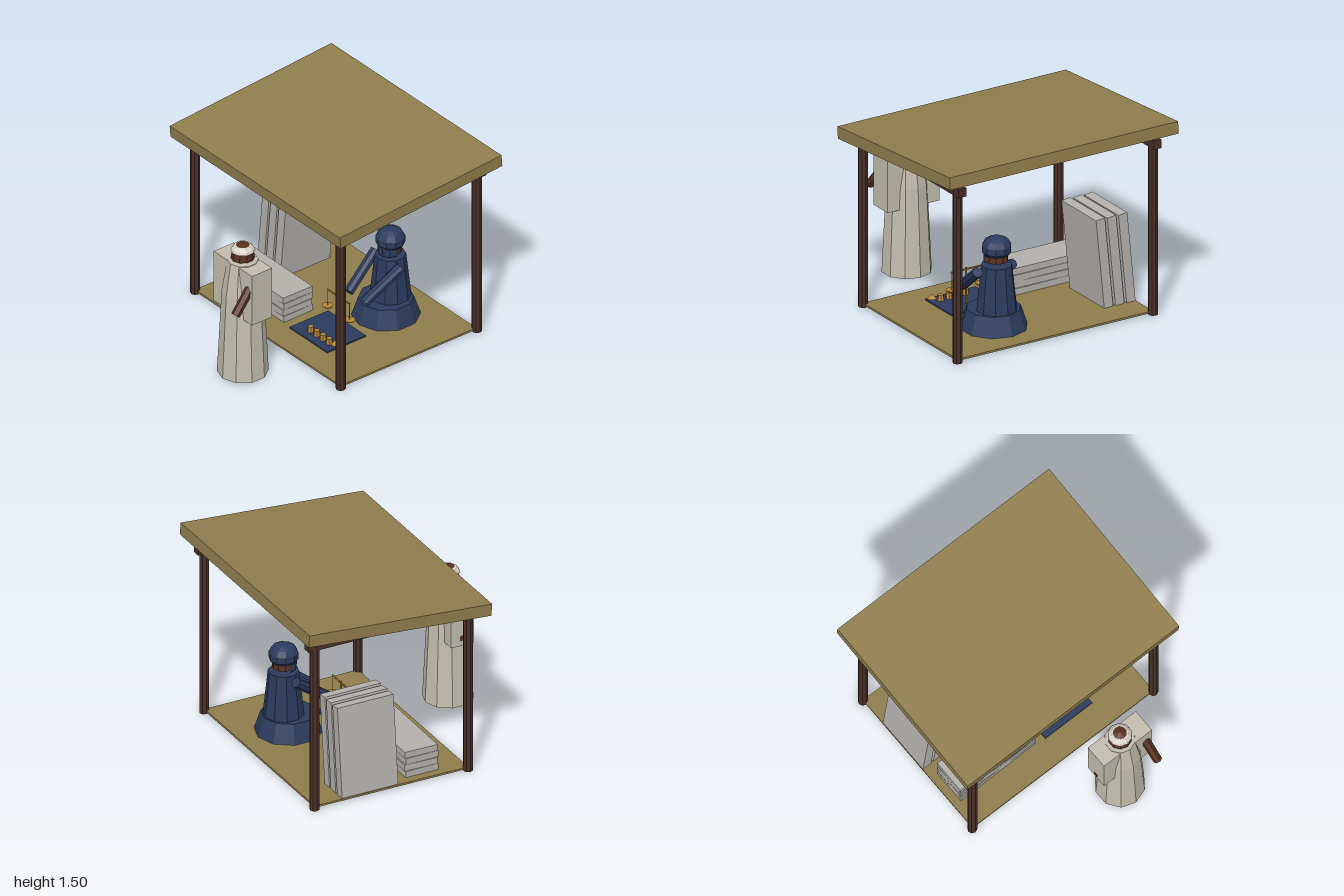
import * as THREE from 'three';

const mat = (color) => new THREE.MeshStandardMaterial({ color, flatShading: true, side: THREE.DoubleSide });
const wood = mat(0x4a2f27), thatch = mat(0x8f7d4c), navy = mat(0x2b3b5e), linen = mat(0xc2bdad),
  cream = mat(0xd8d4c8), skin = mat(0x57301f), stone = mat(0xb4b1ad), gold = mat(0xb5863a);

export function createModel() {
  const root = new THREE.Group();

  const add = (name, geo, material, x = 0, y = 0, z = 0, parent = root) => {
    const m = new THREE.Mesh(geo, material);
    m.name = name;
    m.position.set(x, y, z);
    parent.add(m);
    return m;
  };
  const box = (w, h, d) => new THREE.BoxGeometry(w, h, d);
  const lathe = (pts, sides = 10, start = 0, sweep = Math.PI * 2) =>
    new THREE.LatheGeometry(pts.map(([r, y]) => new THREE.Vector2(r, y)), sides, start, sweep);
  // straight limb, rod or cord between two points
  const rod = (name, a, b, r, material, parent, sides = 6) => {
    const p = new THREE.Vector3(...a), q = new THREE.Vector3(...b);
    const m = add(name, new THREE.CylinderGeometry(r, r, p.distanceTo(q), sides), material, 0, 0, 0, parent);
    m.position.copy(p).add(q).multiplyScalar(0.5);
    m.quaternion.setFromUnitVectors(new THREE.Vector3(0, 1, 0), q.sub(p).normalize());
  };
  const group = (name, x = 0, y = 0, z = 0) => {
    const g = new THREE.Group();
    g.name = name;
    g.position.set(x, y, z);
    root.add(g);
    return g;
  };

  // Stall: floor mat, posts, beams and sloping roof
  const stall = group('stall');
  add('floor', box(1.66, 0.015, 1.245), thatch, 0, 0.0175, -0.25, stall);
  for (const x of [-0.83, 0.83]) {
    for (const [name, z, h] of [['frontPost', 0.37, 1.285], ['backPost', -0.875, 1.38]])
      add(name, new THREE.CylinderGeometry(0.036, 0.036, h, 8), wood, x, h / 2, z, stall);
    add('sideBeam', box(0.065, 0.065, 1.37), wood, x, 1.332, -0.255, stall);
  }
  add('roof', box(1.94, 0.093, 1.485), thatch, 0, 1.393, -0.253, stall).rotation.x = 0.08;

  // Stack of flat bales, each turned a little
  const stack = group('baleStack', -0.425, 0, 0.028);
  [0.012, -0.012, 0.01, -0.01].forEach((turn, i) => {
    add('bale', box(0.685, 0.049, 0.265), stone, 0, 0.052 + i * 0.052, 0, stack).rotation.y = turn;
  });

  // Leaning slabs
  const slabs = group('leaningSlabs');
  for (let i = 0; i < 3; i++)
    add('slab', box(0.075, 0.7, 0.455), stone, -0.755 + i * 0.095, 0.372, -0.422, slabs).rotation.z = -0.1;

  // Cloth with small wares
  const wares = group('waresCloth', 0.215, 0, 0);
  add('cloth', box(0.43, 0.016, 0.355), navy, 0, 0.028, -0.005, wares);
  for (let i = 0; i < 4; i++)
    add('ware', new THREE.CylinderGeometry(0.022, 0.027, 0.045, 7), gold, -0.075 + i * 0.07, 0.058, 0.09, wares);
  add('pointedWare', new THREE.ConeGeometry(0.036, 0.033, 8), gold, 0.21, 0.083, 0.09, wares);

  // Balance scale
  const scale = group('balanceScale', 0.245, 0, -0.08);
  rod('scalePole', [0, 0.035, 0], [0, 0.325, 0], 0.007, gold, scale);
  rod('scaleBeam', [-0.128, 0.312, 0], [0.128, 0.312, 0], 0.007, gold, scale);
  for (const x of [-0.125, 0.125]) {
    rod('panCord', [x, 0.312, 0], [x, 0.18, 0], 0.003, gold, scale, 5);
    add('pan', new THREE.CylinderGeometry(0.042, 0.034, 0.012, 10), gold, x, 0.175, 0, scale);
  }

  // Seated trader
  const trader = group('seatedTrader', 0.275, 0, -0.53);
  add('seatedSkirt', lathe([[0, 0.02], [0.25, 0.02], [0.2, 0.17], [0, 0.17]]), navy, 0, 0, 0.04, trader);
  add('torso', lathe([[0, 0.17], [0.15, 0.17], [0.113, 0.515], [0, 0.515]]), navy, 0, 0, 0, trader);
  add('face', lathe([[0, 0.545], [0.085, 0.545], [0.078, 0.63], [0, 0.63]]), skin, 0, 0, 0, trader);
  add('veil', lathe([[0.088, 0.535], [0.09, 0.61]], 5, -Math.PI / 2, Math.PI), navy, 0, 0, 0.008, trader);
  add('headWrap', lathe([[0, 0.595], [0.09, 0.595], [0.107, 0.615], [0.107, 0.665], [0.085, 0.705], [0.045, 0.725], [0, 0.73]]),
    navy, 0, 0, 0, trader);
  for (const s of [-1, 1])
    rod('traderArm', [s * 0.148, 0.478, 0.02], [s * 0.09, 0.268, 0.31], 0.039, navy, trader, 8);

  // Standing customer
  const customer = group('standingCustomer', 0.205, 0, 0.765);
  add('robe', lathe([[0, 0.005], [0.185, 0.005], [0.152, 0.68], [0.112, 0.94], [0, 0.94]]), linen, 0, 0, 0, customer);
  add('sleeves', box(0.44, 0.413, 0.183), linen, 0, 0.728, 0, customer);
  add('head', lathe([[0, 0.955], [0.087, 0.955], [0.075, 1.03], [0.05, 1.06], [0, 1.076]]), skin, 0, 0, 0, customer);
  add('cap', lathe([[0.076, 1.015], [0.09, 1.018], [0.083, 1.035], [0.062, 1.057], [0.045, 1.061]]), cream, 0, 0, 0, customer);
  rod('raisedArm', [0.165, 0.835, 0.04], [0.178, 0.632, 0.21], 0.034, skin, customer);
  rod('loweredArm', [-0.165, 0.8, 0], [-0.2, 0.56, 0], 0.03, skin, customer);

  return root;
}
